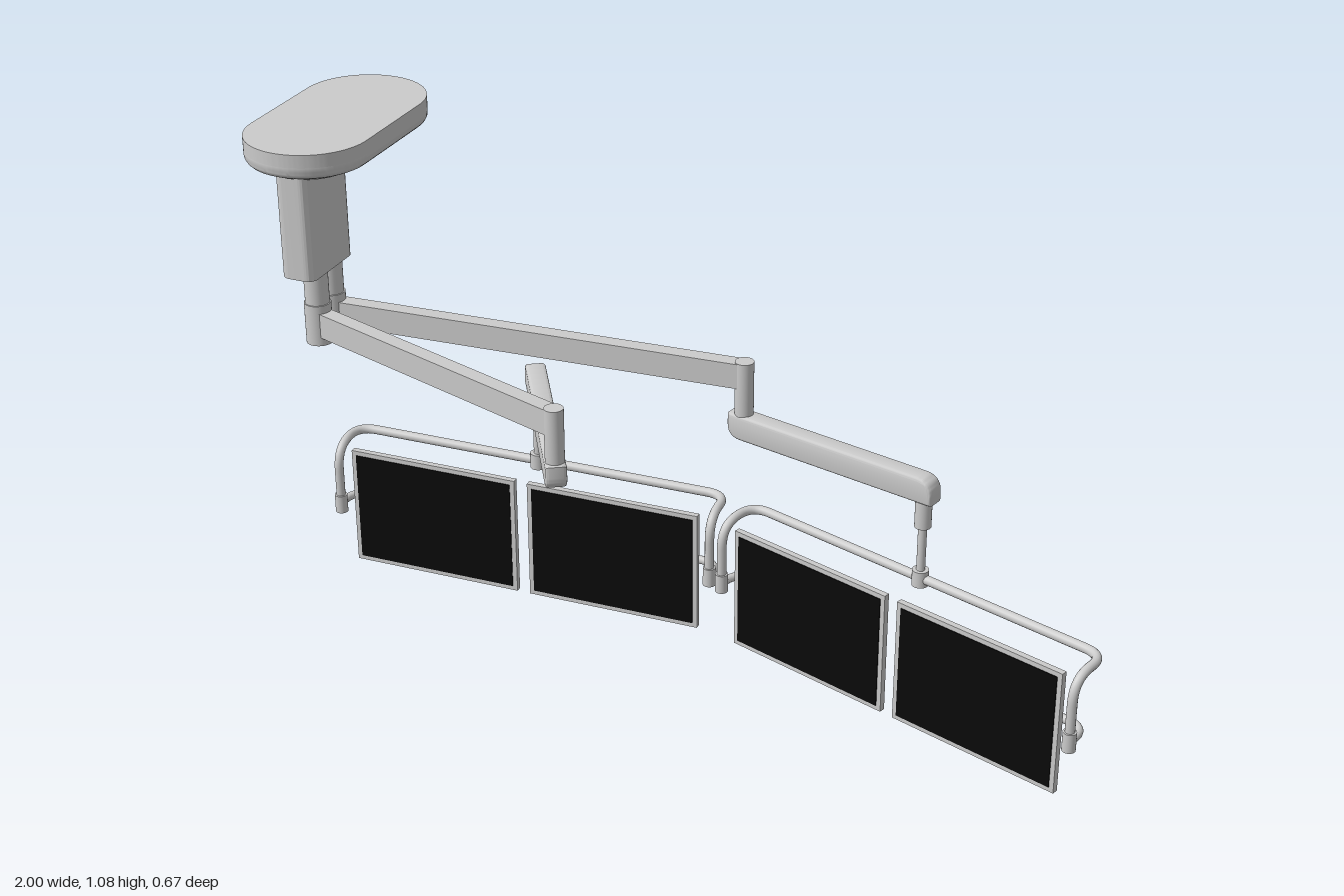
import * as THREE from 'three';
import { toCreasedNormals } from 'three/addons/utils/BufferGeometryUtils.js';

const grey = new THREE.MeshStandardMaterial({ color: 0xcccccc });
const black = new THREE.MeshStandardMaterial({ color: 0x0a0a0a });
const V = (x, y, z) => new THREE.Vector3(x, y, z);

function add(parent, name, geometry, x = 0, y = 0, z = 0, material = grey) {
  const mesh = new THREE.Mesh(geometry, material);
  mesh.name = name;
  mesh.position.set(x, y, z);
  parent.add(mesh);
  return mesh;
}

// Upright cylinder between two heights
function post(parent, name, r, y0, y1, x, z) {
  return add(parent, name, new THREE.CylinderGeometry(r, r, y1 - y0, 32), x, (y0 + y1) / 2, z);
}

// Rounded rectangle in plan (w along x, d along z), extruded upwards from y = 0
function slab(w, d, r, height, bevel = 0) {
  const s = new THREE.Shape();
  const a = w / 2 - bevel, b = d / 2 - bevel, q = r - bevel;
  s.absarc(a - q, b - q, q, 0, Math.PI / 2);
  s.absarc(-a + q, b - q, q, Math.PI / 2, Math.PI);
  s.absarc(-a + q, -b + q, q, Math.PI, Math.PI * 1.5);
  s.absarc(a - q, -b + q, q, Math.PI * 1.5, Math.PI * 2);
  const g = new THREE.ExtrudeGeometry(s, {
    depth: height - 2 * bevel, curveSegments: 20, bevelEnabled: bevel > 0,
    bevelThickness: bevel, bevelSize: bevel, bevelSegments: 5,
  });
  g.translate(0, 0, bevel);
  g.rotateX(-Math.PI / 2);
  return toCreasedNormals(g, 0.6);
}

// Tube along a polyline with rounded corners; radii[i] belongs to corner i + 1
function bentTube(points, radii, r) {
  const path = new THREE.CurvePath();
  let from = points[0];
  for (let i = 1; i < points.length - 1; i++) {
    const p = points[i], q = radii[i - 1];
    const a = p.clone().add(points[i - 1].clone().sub(p).setLength(q));
    const b = p.clone().add(points[i + 1].clone().sub(p).setLength(q));
    if (from.distanceTo(a) > 1e-4) path.add(new THREE.LineCurve3(from, a));
    path.add(new THREE.QuadraticBezierCurve3(a, p, b));
    from = b;
  }
  path.add(new THREE.LineCurve3(from, points[points.length - 1]));
  return new THREE.TubeGeometry(path, 160, r, 14);
}

// Group at a with its local x axis pointing to b (both are [x, z])
function link(parent, name, a, b) {
  const g = new THREE.Group();
  g.name = name;
  g.position.set(a[0], 0, a[1]);
  g.rotation.y = -Math.atan2(b[1] - a[1], b[0] - a[0]);
  parent.add(g);
  return [g, Math.hypot(b[0] - a[0], b[1] - a[1])];
}

// Straight bar from the column to its elbow
function upperArm(parent, a, b) {
  const [g, len] = link(parent, 'upperArm', a, b);
  add(g, 'armBar', new THREE.BoxGeometry(len, 0.058, 0.036), len / 2, 0.634, 0);
  post(g, 'elbow', 0.021, 0.535, 0.665, len, 0);
}

// Lower arm: rounded underneath at the elbow, rounded on top at the drop
function lowerArm(parent, a, b) {
  const [g, len] = link(parent, 'lowerArm', a, b);
  const bv = 0.007, x0 = -0.03 + bv, x1 = len + 0.028 - bv, y0 = 0.483 + bv, y1 = 0.541 - bv;
  const s = new THREE.Shape();
  s.moveTo(x0 + 0.025, y0);
  s.lineTo(x1, y0);
  s.lineTo(x1, y1 - 0.03);
  s.quadraticCurveTo(x1, y1, x1 - 0.03, y1);
  s.lineTo(x0, y1);
  s.lineTo(x0, y0 + 0.025);
  s.quadraticCurveTo(x0, y0, x0 + 0.025, y0);
  const width = 0.046;
  const geo = new THREE.ExtrudeGeometry(s, {
    depth: width - 2 * bv, curveSegments: 10, bevelThickness: bv, bevelSize: bv, bevelSegments: 3,
  });
  geo.translate(0, 0, -width / 2 + bv);
  add(g, 'armBody', toCreasedNormals(geo, 0.6));
  post(g, 'dropJoint', 0.018, 0.42, 0.5, len, 0);
  post(g, 'dropRod', 0.0095, 0.3, 0.43, len, 0);
}

// Screen with bezel and tapered back; front face at z = 0, base at y = 0
function monitor(parent, x, z) {
  const g = new THREE.Group();
  g.name = 'monitor';
  g.position.set(x, 0, z);
  parent.add(g);
  add(g, 'frame', new THREE.BoxGeometry(0.412, 0.288, 0.014), 0, 0.144, -0.007);
  add(g, 'screen', new THREE.BoxGeometry(0.39, 0.266, 0.003), 0, 0.144, 0.0005, black);
  const back = new THREE.BoxGeometry(0.39, 0.254, 0.02);
  const p = back.attributes.position;
  for (let i = 0; i < p.count; i++) {
    if (p.getZ(i) < 0) p.setXY(i, p.getX(i) * 0.76, p.getY(i) * 0.64);
  }
  back.computeVertexNormals();
  add(g, 'backCover', back, 0, 0.144, -0.024);
}

// Rail hung from its middle, with two monitors on side brackets
function monitorRail(parent, at, angle) {
  const g = new THREE.Group();
  g.name = 'monitorRail';
  g.position.set(at[0], 0, at[1]);
  g.rotation.y = -angle;
  parent.add(g);
  const e = 0.46, f = 0.107, y = 0.296;
  add(g, 'rail', bentTube([
    V(-e, 0.14, f), V(-e, y, f), V(-e, y, 0), V(e, y, 0), V(e, y, f), V(e, 0.14, f),
  ], [0.06, 0.046, 0.046, 0.06], 0.0105));
  post(g, 'railClamp', 0.018, 0.279, 0.316, 0, 0);
  for (const s of [-1, 1]) {
    monitor(g, s * 0.222, 0.1);
    post(g, 'endClamp', 0.0145, 0.126, 0.17, s * e, f);
    add(g, 'bracketTube', bentTube(
      [V(s * 0.222, 0.146, 0.046), V(s * e, 0.146, 0.046), V(s * e, 0.146, f)], [0.045], 0.0095));
    add(g, 'mountBlock', new THREE.BoxGeometry(0.042, 0.036, 0.036), s * 0.222, 0.146, 0.05);
  }
}

export function createModel() {
  const model = new THREE.Group();
  model.name = 'ceilingMonitorMount';
  const cx = -0.858;

  // Ceiling plate with a rounded lower edge and round covers beneath
  const plate = new THREE.Group();
  plate.name = 'ceilingPlate';
  model.add(plate);
  add(plate, 'plateLower', slab(0.284, 0.526, 0.142, 0.05, 0.02), cx, 1.02, -0.07);
  add(plate, 'plateUpper', slab(0.284, 0.526, 0.142, 0.038), cx, 1.042, -0.07);
  post(plate, 'columnCollar', 0.106, 1.012, 1.03, cx, 0.053);
  post(plate, 'columnCollarStep', 0.095, 1.006, 1.02, cx, 0.053);
  post(plate, 'coverRing', 0.104, 1.012, 1.03, cx, -0.19);
  post(plate, 'coverDisc', 0.09, 1.0, 1.02, cx, -0.19);

  // Column holding two pivot posts
  add(model, 'column', slab(0.082, 0.182, 0.022, 0.25), cx, 0.766, 0.053);
  const pivots = [[cx, 0], [cx, 0.064]];
  for (const [x, z] of pivots) {
    post(model, 'pivotPost', 0.0275, 0.67, 0.78, x, z);
    post(model, 'pivotSleeve', 0.0305, 0.585, 0.682, x, z);
  }

  // Two articulated arms, each carrying a rail with two monitors
  const elbows = [[0.12, -0.053], [-0.163, 0.303]];
  const drops = [[0.568, 0.064], [-0.4, -0.095]];
  const angles = [0.332, -0.026];
  for (let i = 0; i < 2; i++) {
    upperArm(model, pivots[i], elbows[i]);
    lowerArm(model, elbows[i], drops[i]);
    monitorRail(model, drops[i], angles[i]);
  }
  return model;
}
